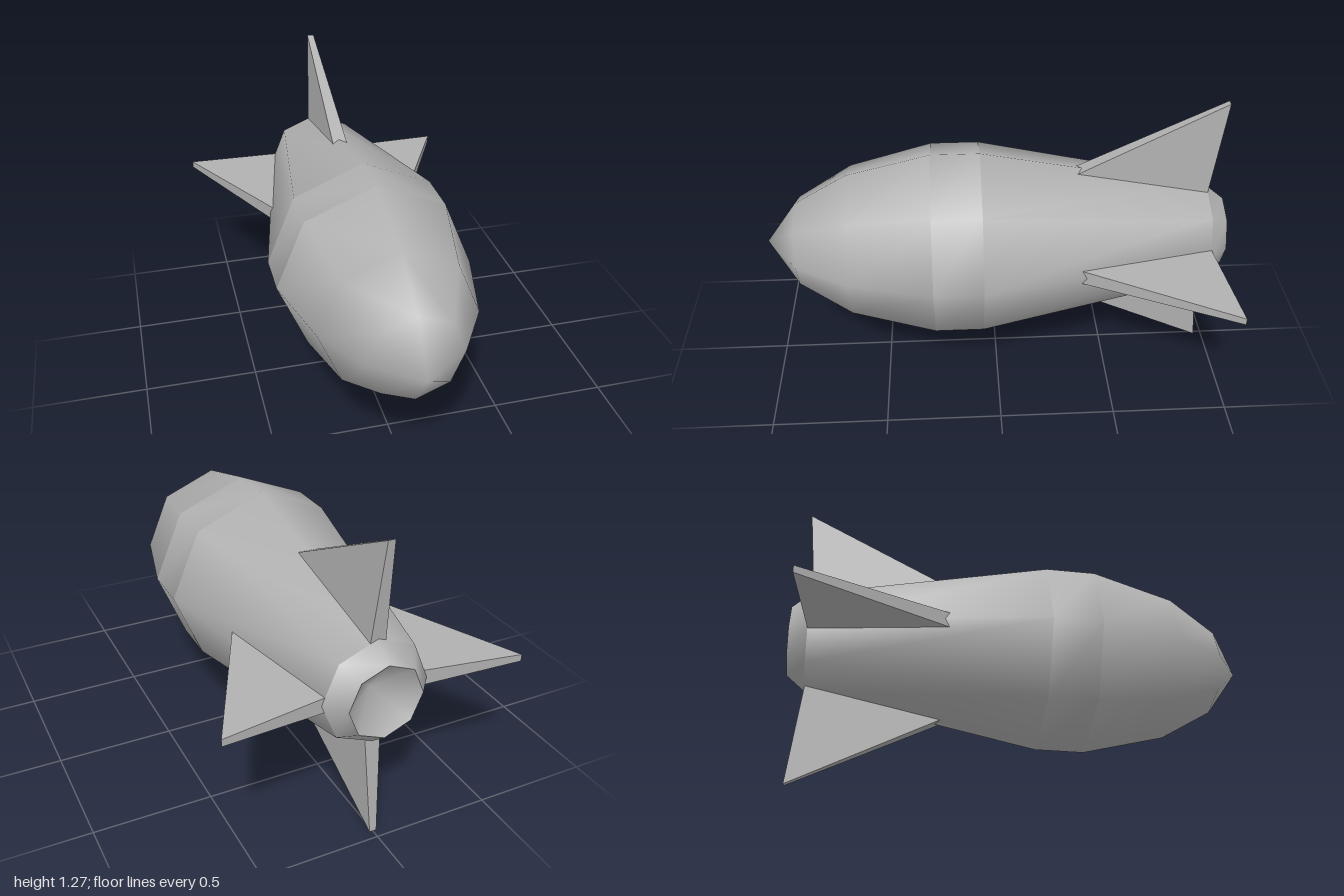
import * as THREE from 'three';
import { mergeVertices } from 'three/addons/utils/BufferGeometryUtils.js';

const AXIS_Y = 0.634;

// Eight-sided smooth section along z; profile is [radius, z] from tail to nose
function hullSection(name, profile, material) {
  let geo = new THREE.LatheGeometry(profile.map(([r, z]) => new THREE.Vector2(r, z)), 8);
  geo.rotateX(Math.PI / 2);
  geo.deleteAttribute('uv');
  geo.deleteAttribute('normal');
  geo = mergeVertices(geo, 1e-4);
  geo.computeVertexNormals();
  const mesh = new THREE.Mesh(geo, material);
  mesh.name = name;
  return mesh;
}

// Swept triangular fin, thinner at its tip; corners are [radius, z, half thickness]
function finGeometry() {
  const corners = [[0.318, -0.335, 0.033], [0.2, -0.918, 0.033], [0.634, -0.965, 0.015]];
  const R = corners.map(([y, z, w]) => [w, y, z]);
  const L = corners.map(([y, z, w]) => [-w, y, z]);
  const pos = [];
  const tri = (a, b, c) => pos.push(...a, ...b, ...c);
  tri(R[0], R[1], R[2]);
  tri(L[0], L[2], L[1]);
  for (let i = 0; i < 3; i++) {
    const j = (i + 1) % 3;
    tri(R[i], L[i], L[j]);
    tri(R[i], L[j], R[j]);
  }
  const geo = new THREE.BufferGeometry();
  geo.setAttribute('position', new THREE.Float32BufferAttribute(pos, 3));
  geo.computeVertexNormals();
  return geo;
}

export function createModel() {
  const group = new THREE.Group();
  group.name = 'finnedBomb';
  const grey = new THREE.MeshStandardMaterial({ color: 0xb0b0b0 });
  grey.name = 'plain grey';

  // Hull, split where the surface has a crease
  const hull = new THREE.Group();
  hull.name = 'hull';
  hull.add(
    hullSection('nose', [[0.421, 0.275], [0.33, 0.635], [0.195, 0.862], [0, 1]], grey),
    hullSection('middleBand', [[0.421, 0.065], [0.421, 0.275]], grey),
    hullSection('tailCone', [[0.225, -0.92], [0.421, 0.065]], grey),
    hullSection('tailRing', [[0.157, -1], [0.225, -0.92]], grey),
    hullSection('tailRecess', [[0, -0.88], [0.157, -1]], grey),
  );
  hull.position.y = AXIS_Y;
  group.add(hull);

  // Four fins around the tail
  const geo = finGeometry();
  ['topFin', 'rightFin', 'bottomFin', 'leftFin'].forEach((name, i) => {
    const fin = new THREE.Mesh(geo, grey);
    fin.name = name;
    fin.position.y = AXIS_Y;
    fin.rotation.z = i * Math.PI / 2;
    group.add(fin);
  });
  return group;
}
